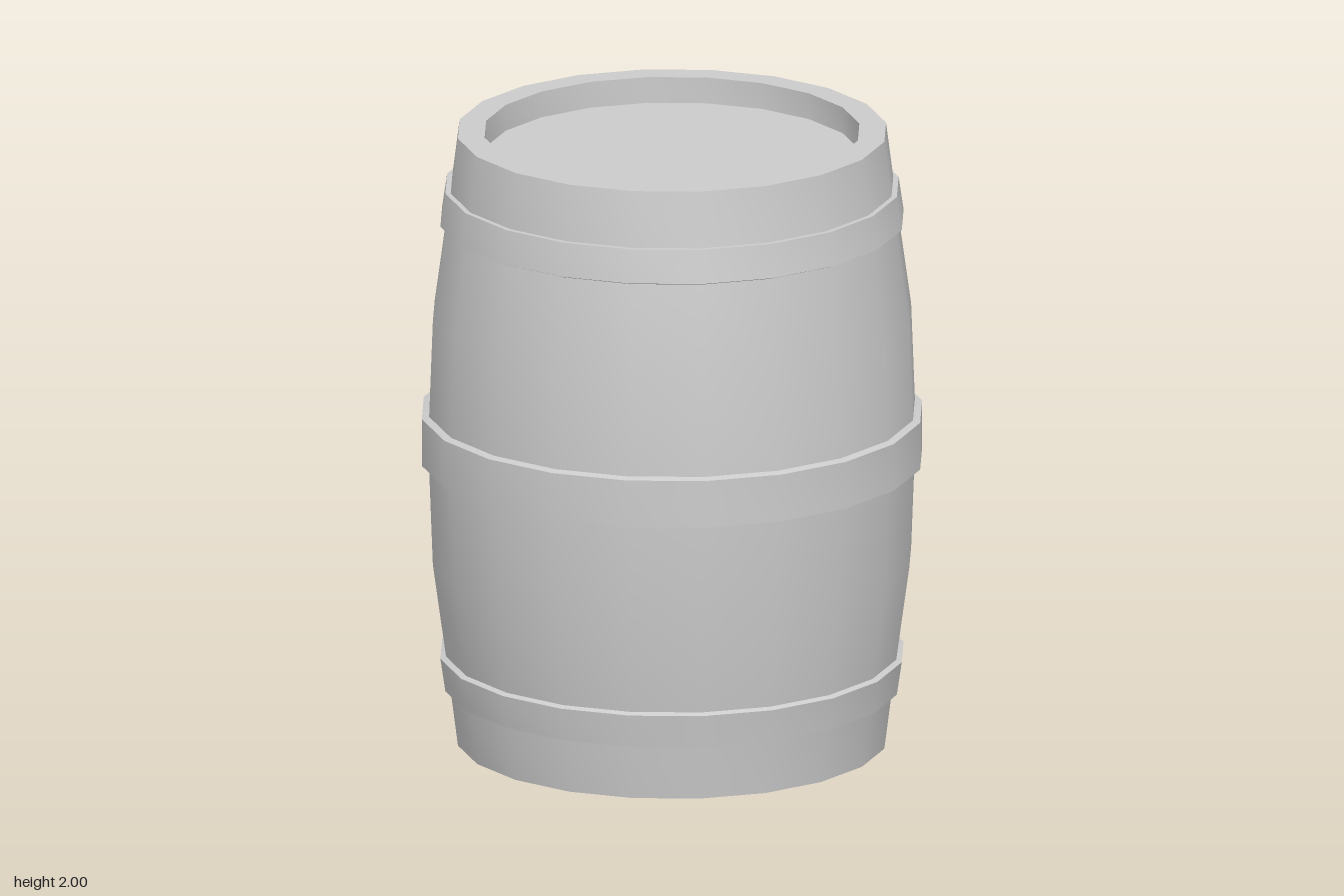
import * as THREE from 'three';
import { toCreasedNormals } from 'three/addons/utils/BufferGeometryUtils.js';

const SIDES = 20;
const material = new THREE.MeshStandardMaterial({ color: 0xcccccc, side: THREE.DoubleSide });

// Revolve a [radius, height] profile, smooth around but sharp at its corners
function ring(name, profile) {
  const points = profile.map(([r, y]) => new THREE.Vector2(r, y));
  const geometry = toCreasedNormals(new THREE.LatheGeometry(points, SIDES), Math.PI / 5);
  const mesh = new THREE.Mesh(geometry, material);
  mesh.name = name;
  return mesh;
}

// The same profile turned upside down about mid-height
const flip = (profile) => profile.map(([r, y]) => [r, 2 - y]).reverse();

export function createModel() {
  const barrel = new THREE.Group();
  barrel.name = 'barrel';

  // Staves: open shell sections between the hoops
  const end = [[0.682, 0], [0.705, 0.18]];
  const belly = [[0.72, 0.295], [0.762, 0.6], [0.774, 0.92]];
  // Hoops: raised bands closing the gaps between the stave sections
  const endHoop = [[0.705, 0.18], [0.722, 0.18], [0.738, 0.288], [0.72, 0.295]];
  const middleHoop = [[0.774, 0.92], [0.797, 0.926], [0.797, 1.08], [0.774, 1.087]];

  barrel.add(
    ring('bottomStaves', end),
    ring('lowerStaves', belly),
    ring('upperStaves', flip(belly)),
    ring('topStaves', flip(end)),
    ring('lowerHoop', endHoop),
    ring('middleHoop', middleHoop),
    ring('upperHoop', flip(endHoop)),
    // Flat rim, short inner wall and the recessed lid
    ring('rim', [[0.682, 2], [0.597, 2], [0.597, 1.915]])
  );

  const lid = new THREE.Mesh(new THREE.CircleGeometry(0.597, SIDES), material);
  lid.name = 'lid';
  lid.rotation.x = -Math.PI / 2;
  lid.position.y = 1.915;
  barrel.add(lid);

  return barrel;
}
